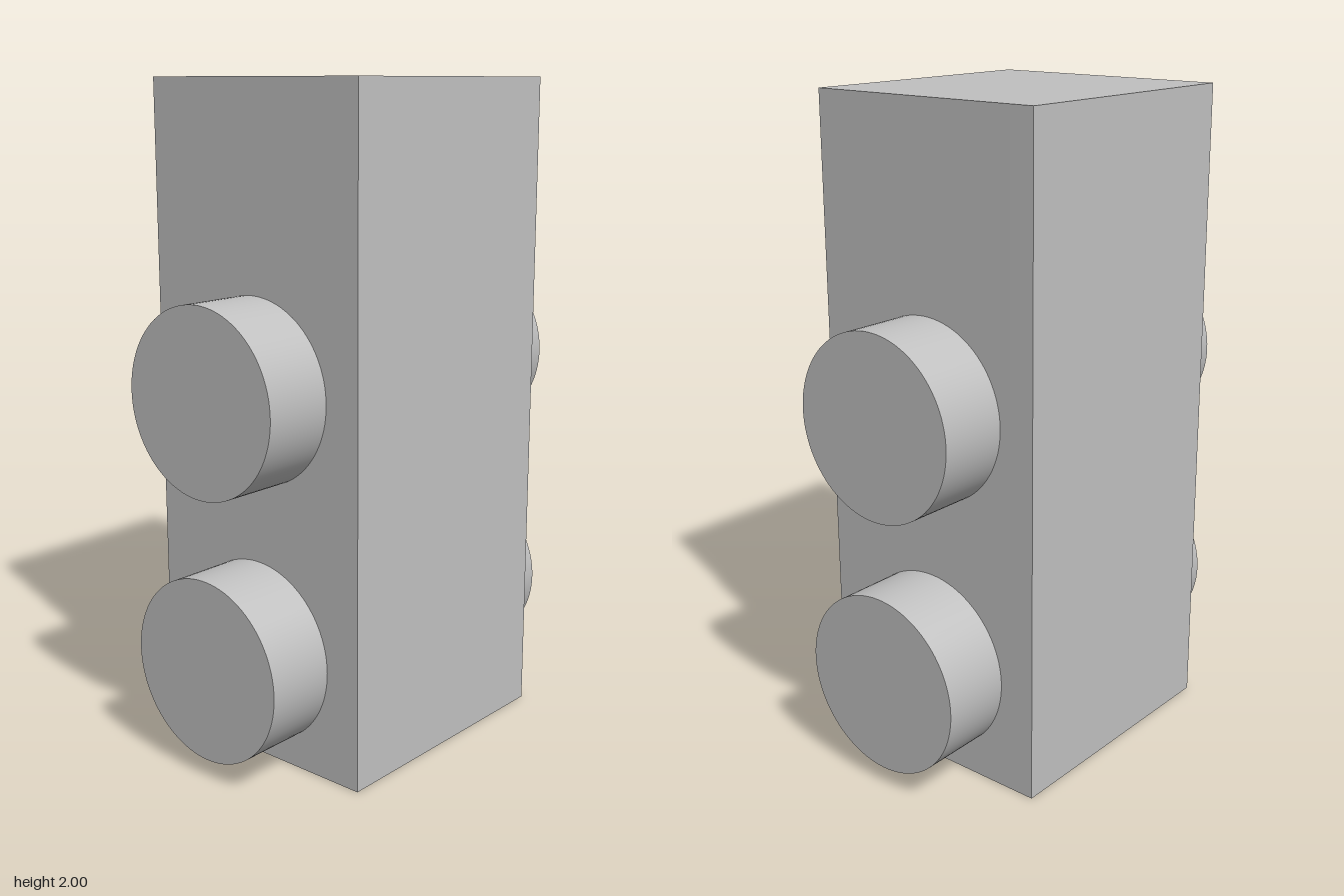
import * as THREE from 'three';

export function createModel() {
  const model = new THREE.Group();
  model.name = 'studdedBlock';
  const grey = new THREE.MeshStandardMaterial({ color: 0xc0c0c0 });
  grey.name = 'light grey';

  const bodyWidth = 0.84, reach = 0.64, studRadius = 0.276;

  // Upright rectangular body
  const body = new THREE.Mesh(new THREE.BoxGeometry(bodyWidth, 2, 0.78), grey);
  body.name = 'body';
  body.position.y = 1;
  model.add(body);

  // Two round studs on each side, slightly sunk into the body
  const sunk = 0.02;
  const length = reach - bodyWidth / 2 + sunk;
  const studGeometry = new THREE.CylinderGeometry(studRadius, studRadius, length, 96);
  studGeometry.rotateZ(-Math.PI / 2);
  for (const [side, sideName] of [[1, 'left'], [-1, 'right']]) {
    for (const [y, levelName] of [[0.333, 'Lower'], [1.122, 'Upper']]) {
      const stud = new THREE.Mesh(studGeometry, grey);
      stud.name = `${sideName}${levelName}Stud`;
      stud.position.set(side * (reach - length / 2), y, 0);
      model.add(stud);
    }
  }
  return model;
}
